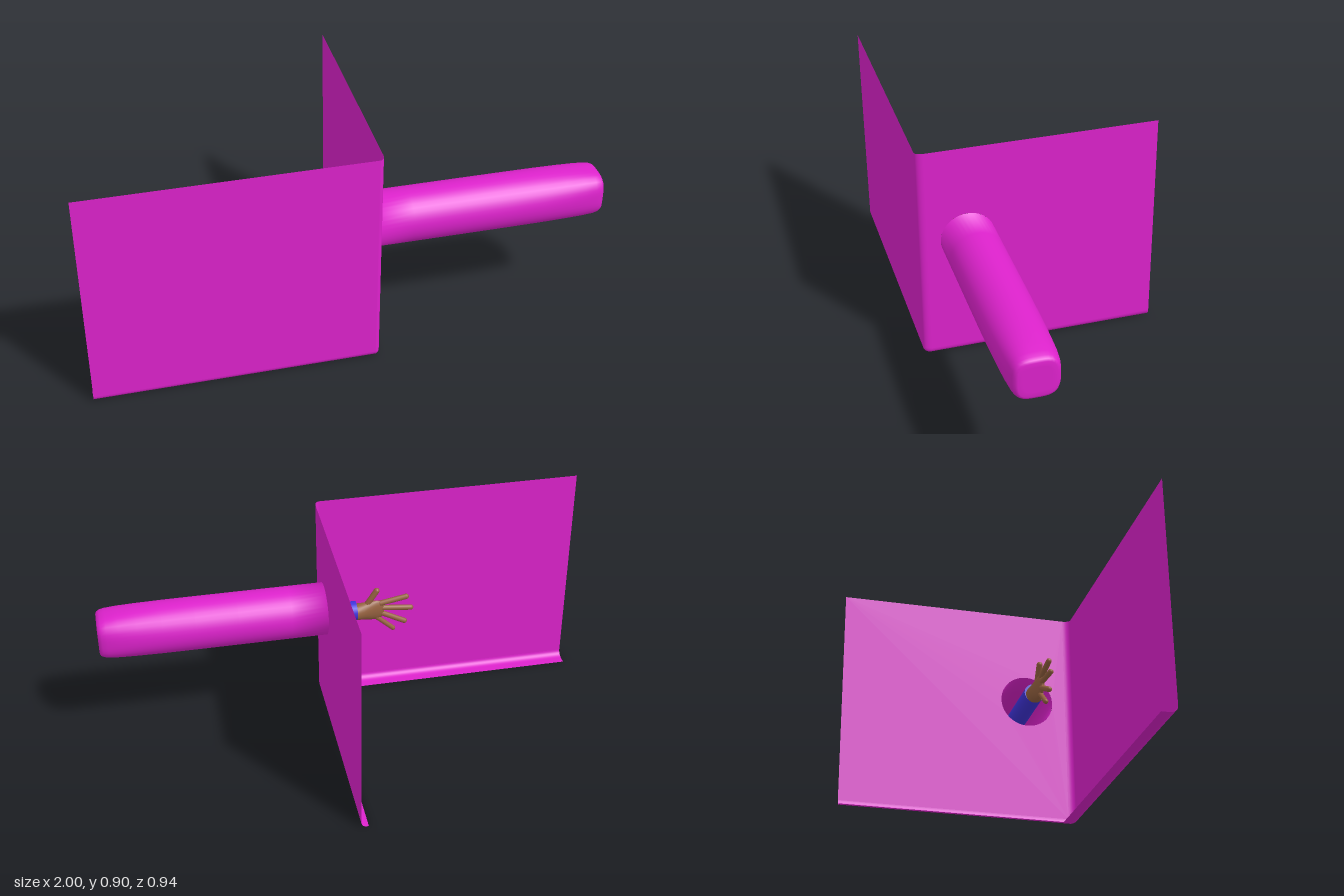
import * as THREE from 'three';

const HALF_PI = Math.PI / 2;

// Surface through a grid of points: point(i, j) returns [x, y, z]; closed wraps j
function gridSurface(rows, cols, closed, point) {
  const pos = [], idx = [];
  for (let i = 0; i < rows; i++) for (let j = 0; j < cols; j++) pos.push(...point(i, j));
  for (let i = 0; i < rows - 1; i++) {
    for (let j = 0; j < (closed ? cols : cols - 1); j++) {
      const k = (j + 1) % cols;
      const a = i * cols + j, b = i * cols + k, c = a + cols, d = b + cols;
      idx.push(a, b, c, b, d, c);
    }
  }
  const g = new THREE.BufferGeometry();
  g.setAttribute('position', new THREE.Float32BufferAttribute(pos, 3));
  g.setIndex(idx);
  g.computeVertexNormals();
  return g;
}

// Loft along +x; each section is [x, radiusY, radiusZ, squareness (2 = round)]
function loftX(sections, cy, cz, sides) {
  return gridSurface(sections.length, sides, true, (i, j) => {
    const [x, ry, rz, p = 2] = sections[i];
    const a = (j / sides) * Math.PI * 2, c = Math.cos(a), s = Math.sin(a);
    const k = Math.pow(Math.abs(c) ** p + Math.abs(s) ** p, -1 / p);
    return [x, cy + ry * c * k, cz + rz * s * k];
  });
}

export function createModel() {
  const model = new THREE.Group();
  const pink = new THREE.MeshStandardMaterial({ color: 0xdd22cc, side: THREE.DoubleSide });
  pink.name = 'magenta';
  const blue = new THREE.MeshStandardMaterial({ color: 0x4034dd });
  blue.name = 'blue';
  const brown = new THREE.MeshStandardMaterial({ color: 0x966240 });
  brown.name = 'brown';

  const add = (parent, name, geometry, material) => {
    const mesh = new THREE.Mesh(geometry, material);
    mesh.name = name;
    parent.add(mesh);
    return mesh;
  };

  // Walls: two thin sheets meeting at a rounded corner, with a curled lip below
  const walls = new THREE.Group();
  walls.name = 'walls';
  model.add(walls);
  const top = 0.9, rx = 0.02, ry = 0.025, rz = 0.03, cx = 0.075, cz = 0.44;
  const path = [[-1, cz, 0]];
  for (let i = 0; i <= 8; i++) path.push([cx, cz, (i / 8) * HALF_PI]);
  const fullPath = [...path, [cx, -0.47, HALF_PI]];
  const edge = ([px, pz, a], y, s) => [px + rx * Math.sin(a) * s, y, pz + rz * Math.cos(a) * s];

  add(walls, 'frontWallAndCorner',
    gridSurface(2, path.length, false, (i, j) => edge(path[j], i ? ry : top, 1)), pink);

  const arcSteps = 8;
  add(walls, 'bottomCurl', gridSurface(arcSteps + 1, fullPath.length, false, (i, j) => {
    const b = (i / arcSteps) * HALF_PI;
    return edge(fullPath[j], ry * (1 - Math.sin(b)), Math.cos(b));
  }), pink);
  add(walls, 'bottomLip', gridSurface(2, fullPath.length, false, (i, j) => {
    const [px, pz] = fullPath[j];
    return i ? [Math.min(px, 0.065), 0, Math.min(pz, 0.41)] : [px, 0, pz];
  }), pink);

  // Side wall with a round opening for the arm
  const armY = 0.515, armZ = 0.28, tubeR = 0.106;
  const side = new THREE.Shape([
    new THREE.Vector2(-cz, ry), new THREE.Vector2(0.47, ry),
    new THREE.Vector2(0.47, top), new THREE.Vector2(-cz, top),
  ]);
  side.holes.push(new THREE.Path().absarc(-armZ, armY, tubeR, 0, Math.PI * 2, true));
  add(walls, 'sideWall',
    new THREE.ShapeGeometry(side, 32).rotateY(HALF_PI).translate(cx + rx, 0, 0), pink);

  // Hollow tube: round at the wall, squarer and rounded off at the closed end
  const tube = loftX([
    [0.095, tubeR, tubeR], [0.24, tubeR, tubeR], [0.45, tubeR, tubeR], [0.62, tubeR, tubeR],
    [0.75, 0.104, 0.104, 2.1], [0.85, 0.1, 0.1, 2.3], [0.92, 0.095, 0.095, 2.6],
    [0.965, 0.089, 0.089, 3], [0.985, 0.084, 0.084, 3.2], [0.996, 0.077, 0.077, 3.5],
    [1, 0.068, 0.068, 3.8], [1, 0.05, 0.05, 3.8], [1, 0, 0],
  ], armY, armZ, 40);
  // Blend the shading of the first ring into the wall
  const n = tube.attributes.normal;
  for (let i = 0; i < 40; i++) {
    const v = new THREE.Vector3().fromBufferAttribute(n, i);
    v.x += 0.8;
    v.normalize();
    n.setXYZ(i, v.x, v.y, v.z);
  }
  add(model, 'closedTube', tube, pink);

  // Arm in a blue sleeve
  const handY = 0.492, handZ = 0.273;
  const arm = new THREE.Group();
  arm.name = 'arm';
  model.add(arm);
  const sleeve = new THREE.CylinderGeometry(0.039, 0.039, 0.535, 24).rotateZ(HALF_PI);
  add(arm, 'sleeve', sleeve, blue).position.set(0.2325, handY, handZ);

  // Hand: flat palm lofted from the wrist, with spread fingers
  const hand = new THREE.Group();
  hand.name = 'hand';
  arm.add(hand);
  add(hand, 'palm', loftX([
    [-0.152, 0, 0], [-0.15, 0.024, 0.006], [-0.14, 0.037, 0.011], [-0.12, 0.044, 0.015],
    [-0.095, 0.043, 0.021], [-0.065, 0.037, 0.028], [-0.034, 0.034, 0.034],
  ], 0.485, handZ, 20), brown);

  const fingers = [
    ['thumb', -0.07, 0.5, -0.126, 0.586, 0.012],
    ['indexFinger', -0.125, 0.512, -0.253, 0.535, 0.011],
    ['middleFinger', -0.135, 0.492, -0.273, 0.477, 0.011],
    ['ringFinger', -0.13, 0.472, -0.246, 0.411, 0.011],
    ['littleFinger', -0.11, 0.458, -0.196, 0.38, 0.01],
  ];
  for (const [name, x0, y0, x1, y1, r] of fingers) {
    const a = new THREE.Vector3(x0, y0, handZ), b = new THREE.Vector3(x1, y1, handZ);
    const dir = b.clone().sub(a), len = dir.length();
    const mesh = add(hand, name, new THREE.CapsuleGeometry(r, len - 2 * r, 5, 10), brown);
    mesh.position.copy(a).lerp(b, 0.5);
    mesh.quaternion.setFromUnitVectors(new THREE.Vector3(0, 1, 0), dir.normalize());
  }
  return model;
}
